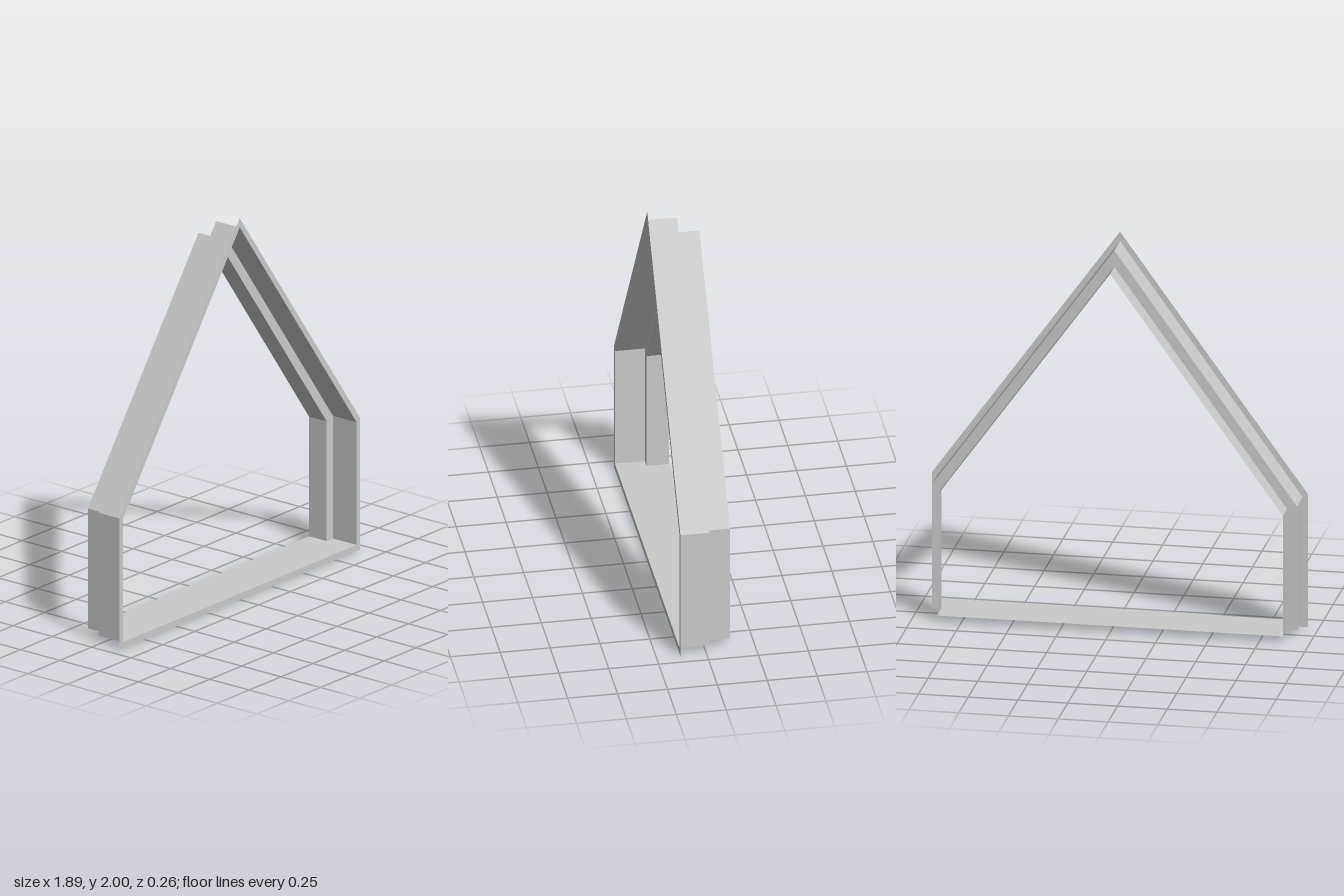
import * as THREE from 'three';

const material = new THREE.MeshStandardMaterial({
  color: 0xcccccc, flatShading: true, side: THREE.DoubleSide,
});

// Gabled outline, counterclockwise from the front
const gable = (halfWidth, base, eaves, ridge) => [
  [-halfWidth, base], [halfWidth, base], [halfWidth, eaves], [0, ridge], [-halfWidth, eaves],
];

// Thin sheet joining outline a at depth za to outline b at depth zb
function sheet(name, a, za, b, zb) {
  const positions = [];
  a.forEach((p, i) => {
    const j = (i + 1) % a.length;
    // the step has no width along the sill
    if (za === zb && p[1] === b[i][1] && a[j][1] === b[j][1]) return;
    const p0 = [...p, za], p1 = [...a[j], za], p2 = [...b[j], zb], p3 = [...b[i], zb];
    positions.push(...p0, ...p1, ...p2, ...p0, ...p2, ...p3);
  });
  const geometry = new THREE.BufferGeometry();
  geometry.setAttribute('position', new THREE.Float32BufferAttribute(positions, 3));
  geometry.computeVertexNormals();
  const mesh = new THREE.Mesh(geometry, material);
  mesh.name = name;
  return mesh;
}

export function createModel() {
  const group = new THREE.Group();
  group.name = 'gabledWindowFrame';

  const outer = gable(0.945, 0, 0.69, 2);
  const middle = gable(0.917, 0.033, 0.676, 1.951);
  const inner = gable(0.868, 0.033, 0.66, 1.865);
  const front = 0.131, step = -0.019, back = -0.131;

  group.add(
    sheet('frontFlange', outer, front, middle, front),
    sheet('frontReveal', middle, front, middle, step),
    sheet('stepFlange', middle, step, inner, step),
    sheet('rearReveal', inner, step, inner, back),
  );
  return group;
}
